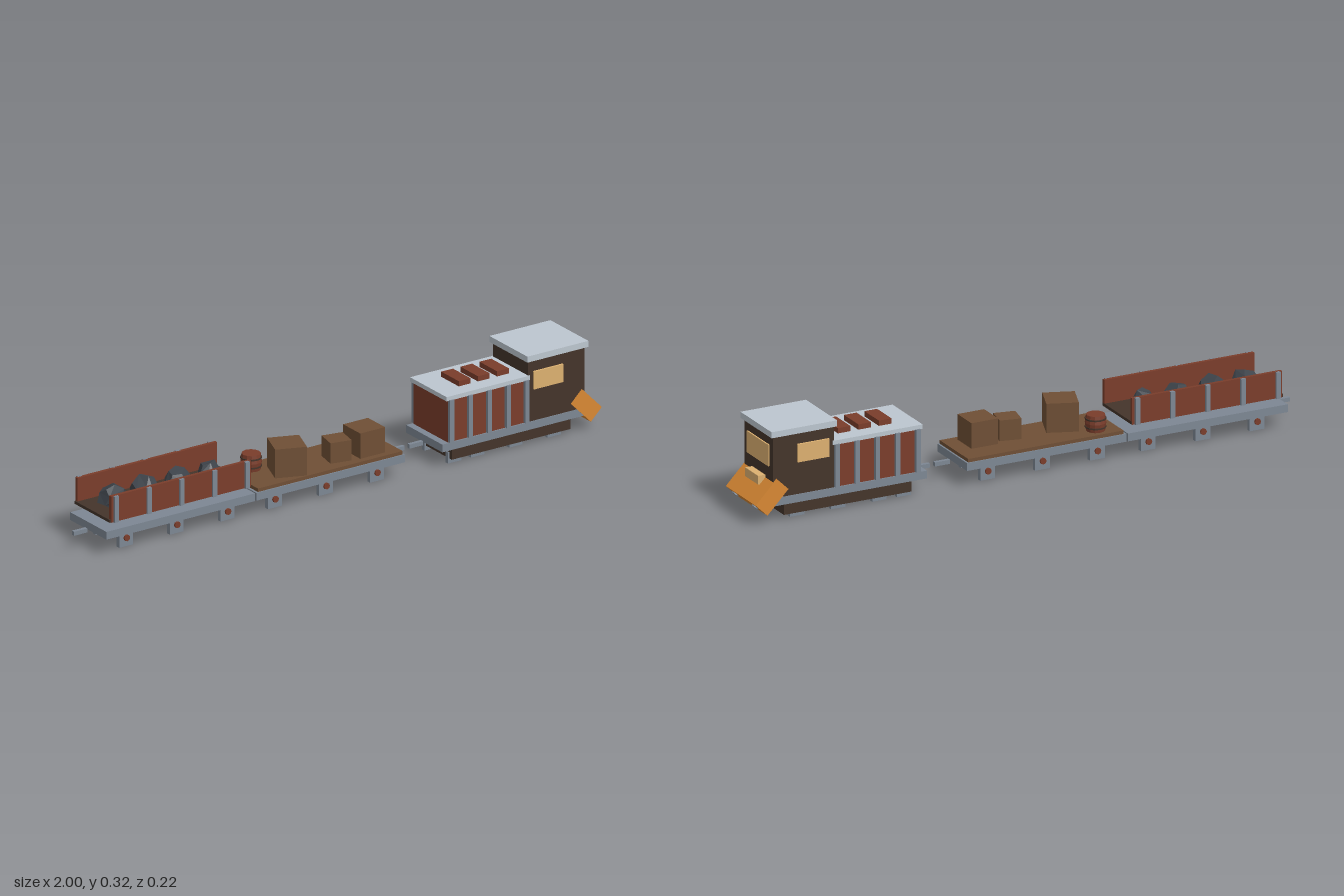
import * as THREE from 'three';

const mat = (color) => new THREE.MeshStandardMaterial({ color, flatShading: true });
const M = {
  steel: mat(0x7d8793), roof: mat(0xbcc6cf), red: mat(0x7a3d2b), dark: mat(0x44342a),
  glass: mat(0xdcb070), orange: mat(0xd88833), wood: mat(0x6f4f35), rock: mat(0x3e444b),
};

function add(parent, name, geometry, material, x, y, z) {
  const mesh = new THREE.Mesh(geometry, material);
  mesh.name = name;
  mesh.position.set(x, y, z);
  parent.add(mesh);
  return mesh;
}

// Box given by its x and y ranges, its depth and the z of its middle
function slab(parent, name, material, x0, x1, y0, y1, depth, z = 0) {
  const g = new THREE.BoxGeometry(x1 - x0, y1 - y0, depth);
  return add(parent, name, g, material, (x0 + x1) / 2, (y0 + y1) / 2, z);
}

function group(parent, name) {
  const g = new THREE.Group();
  g.name = name;
  parent.add(g);
  return g;
}

// Bearing blocks under a frame, with a hub on each outer face
function runners(parent, xs, y0) {
  for (const x of xs) for (const s of [-1, 1]) {
    slab(parent, 'runner', M.steel, x - 0.027, x + 0.027, y0, 0.062, 0.016, s * 0.067);
    const hub = add(parent, 'runnerHub', new THREE.CylinderGeometry(0.011, 0.011, 0.008, 8), M.red, x, y0 + 0.03, s * 0.078);
    hub.rotation.x = Math.PI / 2;
  }
}

function frame(parent, x0, x1) {
  slab(parent, 'frame', M.steel, x0, x1, 0.06, 0.087, 0.206);
}

// Upright ribs on both sides of a body
function ribs(parent, xs, y0, y1) {
  for (const x of xs) for (const s of [-1, 1]) {
    slab(parent, 'sideRib', M.steel, x - 0.008, x + 0.008, y0, y1, 0.012, s * 0.104);
  }
}

function rockGeometry(seed) {
  const g = new THREE.DodecahedronGeometry(1, 0);
  const p = g.attributes.position;
  const v = new THREE.Vector3();
  for (let i = 0; i < p.count; i++) {
    v.fromBufferAttribute(p, i);
    const k = 1 + 0.1 * Math.sin(3 * v.x + 5 * v.y + 7 * v.z + seed);
    p.setXYZ(i, v.x * k, v.y * k * 0.85, v.z * k);
  }
  g.computeVertexNormals();
  return g;
}

function buildOpenWagon(root) {
  const w = group(root, 'openWagon');
  frame(w, -0.94, -0.357);
  slab(w, 'wagonFloor', M.dark, -0.925, -0.372, 0.114, 0.124, 0.2);
  for (const s of [-1, 1]) slab(w, 'sidePanel', M.red, -0.92, -0.373, 0.114, 0.205, 0.012, s * 0.096);
  ribs(w, [-0.904, -0.775, -0.647, -0.518, -0.39], 0.114, 0.205);
  runners(w, [-0.843, -0.645, -0.446], 0.006);
  [[-0.84, 0.051], [-0.715, 0.052], [-0.588, 0.049], [-0.464, 0.042]].forEach(([x, r], i) => {
    const rock = add(w, 'rock', rockGeometry(i * 2.1), M.rock, x, 0.15, -0.003);
    rock.scale.setScalar(r);
    rock.rotation.set(0.4 * i, 0.9 * i, 0.3);
  });
}

function buildFlatWagon(root) {
  const w = group(root, 'flatWagon');
  frame(w, -0.352, 0.23);
  slab(w, 'woodDeck', M.wood, -0.343, 0.224, 0.087, 0.099, 0.198);
  runners(w, [-0.26, -0.06, 0.14], 0.006);
  // Crates: x, z, side, height, turn
  for (const [x, z, a, h, turn] of [
    [-0.18, 0.028, 0.106, 0.1, -0.36], [0.014, 0.028, 0.074, 0.071, -0.2], [0.122, 0.028, 0.097, 0.088, 0],
  ]) {
    add(w, 'crate', new THREE.BoxGeometry(a, h, a), M.wood, x, 0.099 + h / 2, z).rotation.y = turn;
  }
  // Barrel with two hoops
  const profile = [[0, 0], [0.031, 0], [0.035, 0.028], [0.031, 0.056], [0, 0.056]].map(([x, y]) => new THREE.Vector2(x, y));
  add(w, 'barrel', new THREE.LatheGeometry(profile, 12), M.red, -0.265, 0.099, -0.053);
  for (const y of [0.113, 0.141]) add(w, 'barrelHoop', new THREE.CylinderGeometry(0.0355, 0.0355, 0.005, 12), M.dark, -0.265, y, -0.053);
}

function buildLocomotive(root) {
  const l = group(root, 'locomotive');
  frame(l, 0.377, 0.94);
  slab(l, 'underframe', M.dark, 0.425, 0.89, 0.018, 0.062, 0.174);
  for (const x of [0.445, 0.535, 0.685, 0.835]) for (const s of [-1, 1]) {
    slab(l, 'runner', M.steel, x - 0.026, x + 0.026, 0.002, 0.04, 0.015, s * 0.067);
  }

  // Engine hood with ribs and roof vents
  slab(l, 'engineHood', M.red, 0.402, 0.72, 0.087, 0.234, 0.196);
  ribs(l, [0.411, 0.485, 0.559, 0.633, 0.706], 0.089, 0.236);
  slab(l, 'hoodRoof', M.roof, 0.393, 0.72, 0.234, 0.249, 0.208);
  for (const x of [0.501, 0.576, 0.651]) slab(l, 'roofVent', M.red, x - 0.023, x + 0.023, 0.247, 0.267, 0.1);

  // Cab
  slab(l, 'cab', M.dark, 0.715, 0.936, 0.087, 0.299, 0.2);
  slab(l, 'cabRoof', M.roof, 0.707, 0.946, 0.298, 0.319, 0.216);
  slab(l, 'windscreen', M.glass, 0.93, 0.941, 0.19, 0.264, 0.15);
  for (const s of [-1, 1]) slab(l, 'sideWindow', M.glass, 0.734, 0.85, 0.198, 0.26, 0.012, s * 0.101);

  // Tilted nose with lamps on its lower face and a lit panel above
  const nose = group(l, 'nose');
  nose.position.set(0.942, 0.093, 0);
  nose.rotation.z = -0.8;
  add(nose, 'noseBlock', new THREE.BoxGeometry(0.11, 0.06, 0.207), M.orange, 0, 0, 0);
  for (const s of [-1, 1]) {
    const lamp = add(nose, 'headlamp', new THREE.CylinderGeometry(0.0125, 0.0125, 0.008, 6), M.steel, 0.055, 0.006, s * 0.067);
    lamp.rotation.z = Math.PI / 2;
  }
  slab(l, 'nosePanel', M.glass, 0.936, 0.962, 0.121, 0.151, 0.091);
}

export function createModel() {
  const root = new THREE.Group();
  root.name = 'freightTrain';
  buildOpenWagon(root);
  buildFlatWagon(root);
  buildLocomotive(root);
  // Coupler bars
  for (const [a, b] of [[-1, -0.948], [0.241, 0.296], [0.315, 0.368]]) {
    slab(root, 'coupler', M.steel, a, b, 0.055, 0.069, 0.013);
  }
  return root;
}
